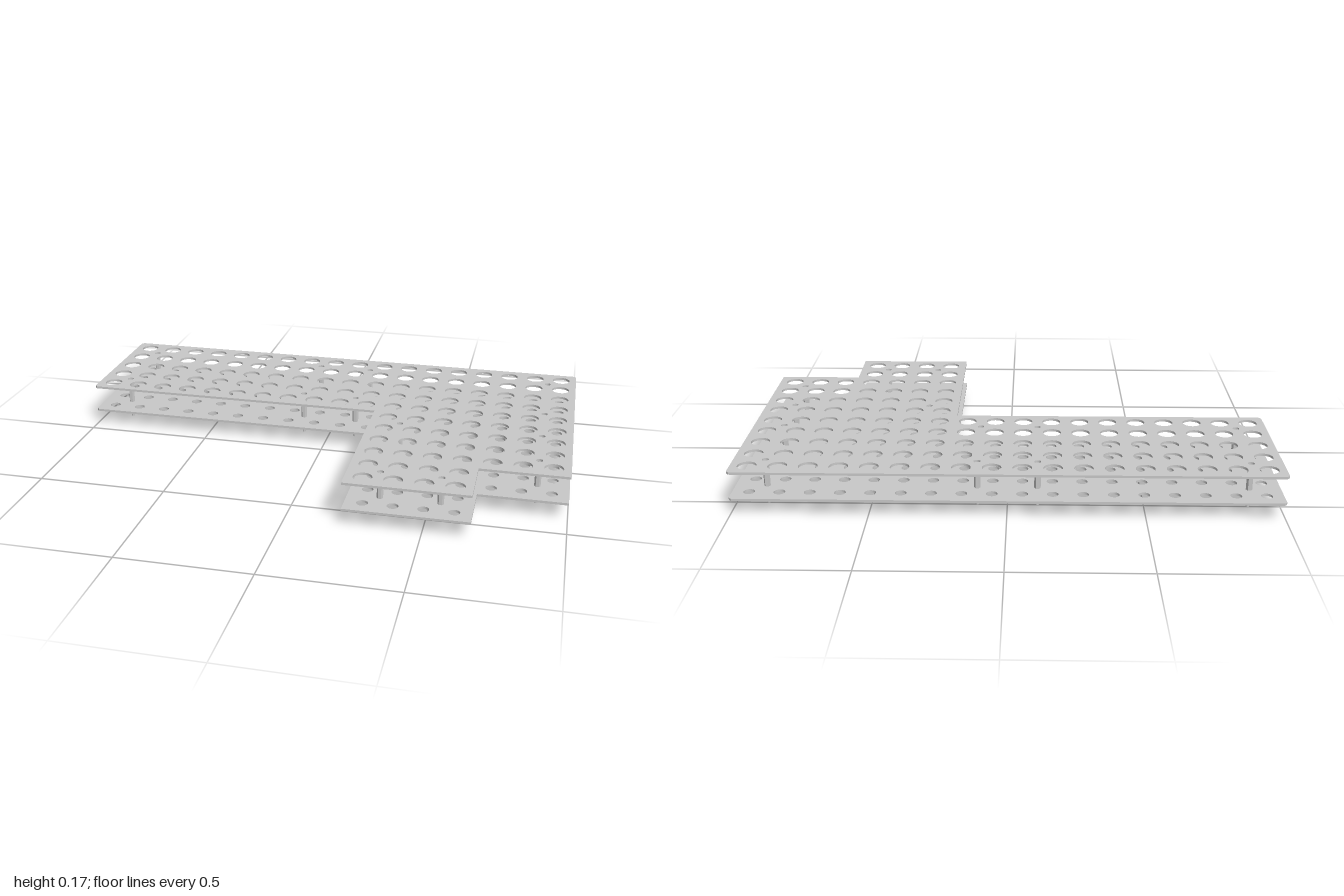
import * as THREE from 'three';

const PITCH = 0.1103;
const colX = c => (c - 8.5) * PITCH;
const rowZ = r => (r - 5) * PITCH;

// Grid cells of the large holes: wide back arm, right block, front tab
const holes = [];
for (let r = 0; r < 11; r++) {
  const first = r < 5 ? 0 : 11;
  const last = r < 9 ? 17 : 14;
  for (let c = first; c <= last; c++) holes.push([colX(c), rowZ(r)]);
}

// Standoff positions, midway between holes
const posts = [];
for (const c of [0.5, 7.5, 9.5, 16.5]) for (const r of [0.5, 3.5]) posts.push([colX(c), rowZ(r)]);
for (const [c, r] of [[11.5, 5.5], [16.5, 5.5], [16.5, 7.5], [11.5, 9.5], [13.5, 9.5]]) {
  posts.push([colX(c), rowZ(r)]);
}

// Holes run clockwise, outlines counter-clockwise
function circleHole(x, y, radius) {
  const path = new THREE.Path();
  path.absarc(x, y, radius, 0, Math.PI * 2, true);
  return path;
}

// Extrude a plan shape (shape y = -z) upwards from y0 to y1
function extrudeUp(shape, y0, y1, curveSegments) {
  const g = new THREE.ExtrudeGeometry(shape, { depth: y1 - y0, bevelEnabled: false, curveSegments });
  g.rotateX(-Math.PI / 2);
  g.translate(0, y0, 0);
  return g;
}

// Stepped plate outline with clipped corners at the ends of the back arm
function plateGeometry(y0, y1, holeRadius, screwRadius) {
  const k = 0.01;
  const outline = [
    [-1, -0.612 + k], [-1, -0.05 - k], [-1 + k, -0.05], [0.21, -0.05], [0.21, 0.612], [0.671, 0.612],
    [0.671, 0.392], [1, 0.392], [1, -0.612 + k], [1 - k, -0.612], [-1 + k, -0.612],
  ];
  const shape = new THREE.Shape(outline.map(([x, z]) => new THREE.Vector2(x, -z)));
  for (const [x, z] of holes) shape.holes.push(circleHole(x, -z, holeRadius));
  for (const [x, z] of posts) shape.holes.push(circleHole(x, -z, screwRadius));
  return extrudeUp(shape, y0, y1, 20);
}

export function createModel() {
  const model = new THREE.Group();
  model.name = 'perforatedDeck';
  const metal = new THREE.MeshStandardMaterial({ color: 0xc8c8c8 });
  metal.name = 'grey metal';

  const add = (parent, name, geometry) => {
    const mesh = new THREE.Mesh(geometry, metal);
    mesh.name = name;
    parent.add(mesh);
  };

  // Plates: large holes above, smaller ones below
  add(model, 'upperPlate', plateGeometry(0.163, 0.172, 0.035, 0.0125));
  add(model, 'lowerPlate', plateGeometry(0.059, 0.068, 0.021, 0.0066));

  // Hexagonal standoff parts, shared by all posts
  const hex = new THREE.Shape();
  for (let i = 0; i < 6; i++) {
    const a = i * Math.PI / 3;
    hex[i ? 'lineTo' : 'moveTo'](0.012 * Math.cos(a), 0.012 * Math.sin(a));
  }
  hex.closePath();
  hex.holes.push(circleHole(0, 0, 0.0065));
  const upperSleeve = extrudeUp(hex, 0.068, 0.163, 10);
  const lowerSleeve = extrudeUp(hex, 0.024, 0.059, 10);
  const stud = new THREE.CylinderGeometry(0.0065, 0.0065, 0.08, 12);
  stud.translate(0, 0.04, 0);

  for (const [x, z] of posts) {
    const post = new THREE.Group();
    post.name = 'standoff';
    post.position.set(x, 0, z);
    add(post, 'upperSleeve', upperSleeve);
    add(post, 'lowerSleeve', lowerSleeve);
    add(post, 'stud', stud);
    model.add(post);
  }
  return model;
}
